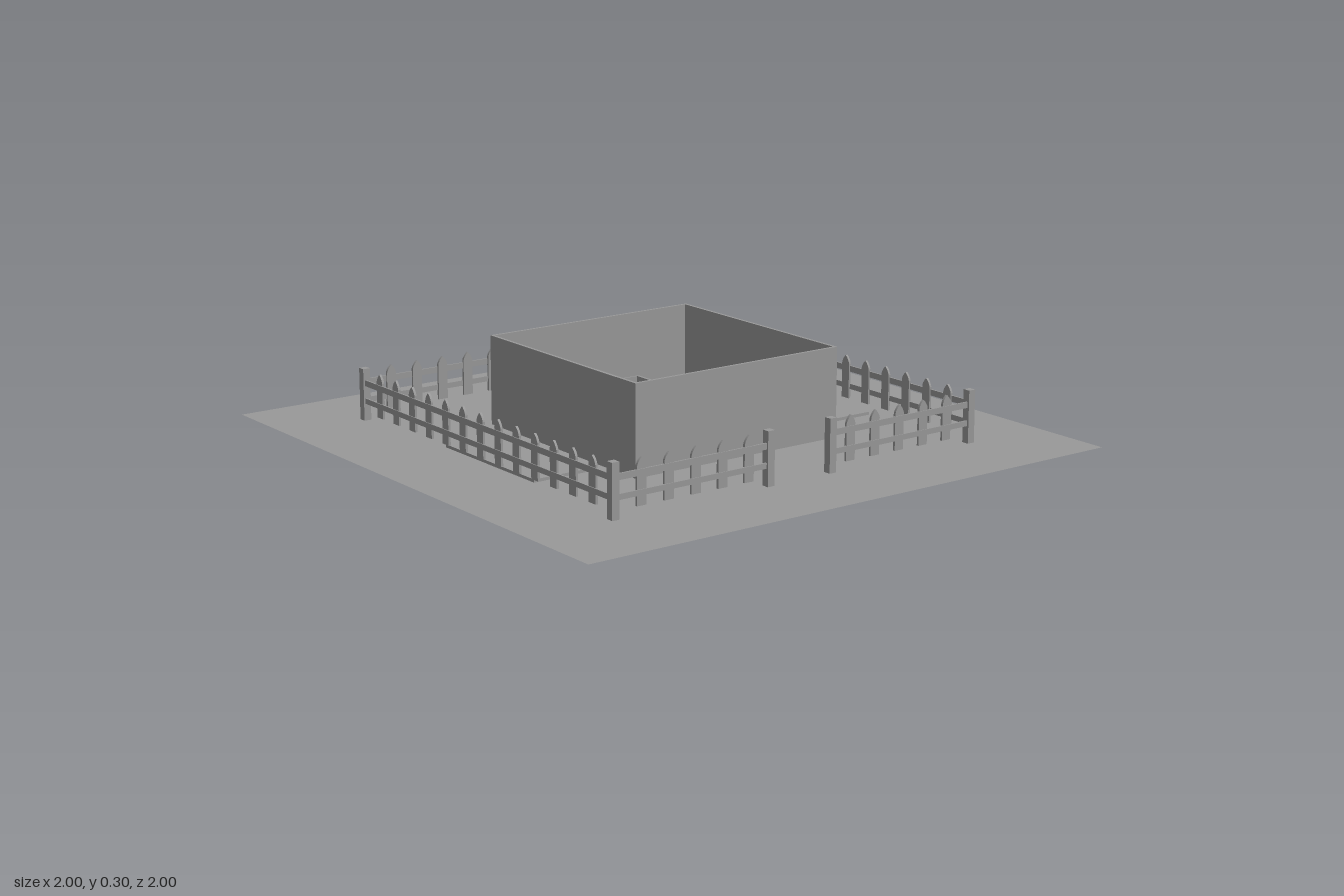
import * as THREE from 'three';

export function createModel() {
  const model = new THREE.Group();
  model.name = 'fencedHouse';
  const grey = new THREE.MeshStandardMaterial({ color: 0x999999 });
  grey.name = 'plain grey';
  const groundGrey = grey;
  groundGrey.side = THREE.DoubleSide;

  const add = (parent, name, geometry, x = 0, y = 0, z = 0) => {
    const mesh = new THREE.Mesh(geometry, grey);
    mesh.name = name;
    mesh.position.set(x, y, z);
    parent.add(mesh);
    return mesh;
  };
  // Box given by its extents, standing on y0
  const block = (parent, name, x0, x1, y0, y1, z0, z1) =>
    add(parent, name, new THREE.BoxGeometry(x1 - x0, y1 - y0, z1 - z0),
      (x0 + x1) / 2, (y0 + y1) / 2, (z0 + z1) / 2);

  // Flat plot
  add(model, 'ground', new THREE.PlaneGeometry(2, 2).rotateX(-Math.PI / 2));

  // Garden beds in front and behind
  for (const s of [-1, 1]) {
    add(model, 'gardenBed', new THREE.BoxGeometry(0.5, 0.01, 0.2), 0, 0.005, s * 0.572);
  }

  // Roofless house: outer walls
  const house = new THREE.Group();
  house.name = 'house';
  model.add(house);
  const H = 0.3, h = 0.2, t = 0.01;
  block(house, 'frontWall', -0.4, 0.4, 0, H, 0.4 - t, 0.4);
  block(house, 'backWall', -0.4, 0.4, 0, H, -0.4, -0.4 + t);
  block(house, 'leftWall', 0.4 - t, 0.4, 0, H, -0.4 + t, 0.4 - t);
  block(house, 'rightWall', -0.4, -0.4 + t, 0, H, -0.4 + t, 0.4 - t);

  // Lower partitions forming two corner rooms
  block(house, 'backRoomSide', 0.1, 0.11, 0, h, -0.39, -0.1);
  block(house, 'backRoomFront', 0.11, 0.39, 0, h, -0.11, -0.1);
  block(house, 'frontRoomSide', 0, 0.006, 0, h, 0.105, 0.39);
  block(house, 'frontRoomBack', 0, 0.39, 0, h, 0.095, 0.105);

  // Entrance knob, one on each face of the wall
  for (const s of [-1, 1]) {
    add(house, 'knobStem', new THREE.CylinderGeometry(0.004, 0.004, 0.01, 12).rotateZ(Math.PI / 2),
      -0.395 + s * 0.008, 0.115, 0);
    add(house, 'doorKnob', new THREE.SphereGeometry(0.009, 16, 10), -0.395 + s * 0.013, 0.115, 0);
  }
  // Small knobs on the room partitions
  for (const z of [-0.105, 0.1]) {
    add(house, 'roomKnob', new THREE.CylinderGeometry(0.004, 0.004, 0.018, 12).rotateX(Math.PI / 2),
      0.25, 0.1, z);
  }

  // Picket with a rounded, pointed top
  const w = 0.0175;
  const shape = new THREE.Shape();
  shape.moveTo(-w, 0.025);
  shape.lineTo(w, 0.025);
  shape.lineTo(w, 0.145);
  shape.quadraticCurveTo(w * 0.8, 0.16, 0, 0.172);
  shape.quadraticCurveTo(-w * 0.8, 0.16, -w, 0.145);
  shape.closePath();
  const picket = new THREE.ExtrudeGeometry(shape, { depth: 0.008, bevelEnabled: false, curveSegments: 5 });
  picket.translate(0, 0, -0.004);

  // Fence run along local x, outside facing +z
  function fenceRun(name, from, to, pickets) {
    const run = new THREE.Group();
    run.name = name;
    for (const [y0, y1] of [[0.057, 0.075], [0.117, 0.137]]) {
      block(run, 'rail', from, to, y0, y1, 0.701, 0.707);
    }
    for (const x of pickets) add(run, 'picket', picket, x, 0, 0.7);
    model.add(run);
    return run;
  }
  const range = (n, start) => Array.from({ length: n }, (_, i) => start + i * 0.1);
  fenceRun('frontFence', -0.7, 0.7, range(13, -0.6));
  fenceRun('backFence', -0.7, 0.7, range(13, -0.6)).rotation.y = Math.PI;
  // Side fences leave a gateway in the middle
  for (const [side, angle] of [['left', Math.PI / 2], ['right', -Math.PI / 2]]) {
    fenceRun(side + 'FenceA', -0.7, -0.122, range(5, -0.6)).rotation.y = angle;
    fenceRun(side + 'FenceB', 0.122, 0.7, range(5, 0.2)).rotation.y = angle;
  }

  // Corner and gate posts
  for (const x of [-0.7, 0.7]) {
    for (const z of [-0.7, -0.122, 0.122, 0.7]) {
      add(model, 'fencePost', new THREE.BoxGeometry(0.026, 0.175, 0.026), x, 0.0875, z);
    }
  }
  return model;
}
